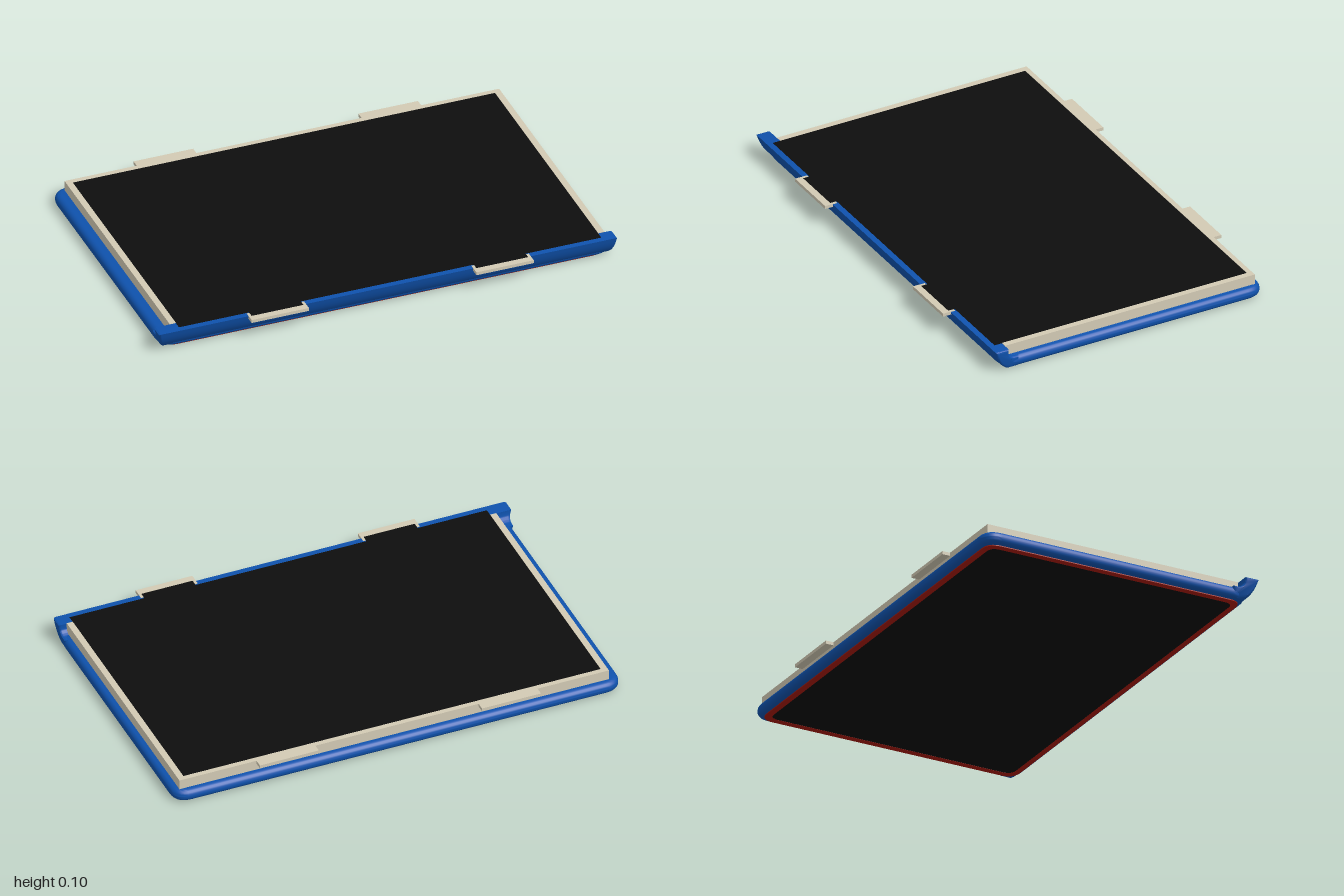
import * as THREE from 'three';
import { toCreasedNormals } from 'three/addons/utils/BufferGeometryUtils.js';

const material = (name, color) => {
  const m = new THREE.MeshStandardMaterial({ color });
  m.name = name;
  return m;
};

// Rounded rectangle in plan; shape y is -z
function outline(x0, x1, z0, z1, r, target = new THREE.Shape()) {
  const a = -z1, b = -z0;
  target.moveTo(x0 + r, a);
  target.lineTo(x1 - r, a);
  target.quadraticCurveTo(x1, a, x1, a + r);
  target.lineTo(x1, b - r);
  target.quadraticCurveTo(x1, b, x1 - r, b);
  target.lineTo(x0 + r, b);
  target.quadraticCurveTo(x0, b, x0, b - r);
  target.lineTo(x0, a + r);
  target.quadraticCurveTo(x0, a, x0 + r, a);
  return target;
}

// Flat shape raised from y by h
function slab(shape, y, h, bevel = 0) {
  const g = new THREE.ExtrudeGeometry(shape, {
    depth: h - 2 * bevel, bevelEnabled: bevel > 0, bevelSize: bevel,
    bevelThickness: bevel, bevelOffset: -bevel, bevelSegments: 5, curveSegments: 8,
  });
  g.rotateX(-Math.PI / 2);
  g.translate(0, y + bevel, 0);
  return toCreasedNormals(g, 0.6);
}

export function createModel() {
  const model = new THREE.Group();
  const blue = material('blue shell', 0x0f52ad);
  const cream = material('cream trim', 0xd2cab4);
  const black = material('black panel', 0x0d0d0d);
  const red = material('red edge', 0xa81a0c);

  const add = (name, geometry, mat) => {
    const mesh = new THREE.Mesh(geometry, mat);
    mesh.name = name;
    model.add(mesh);
  };
  const box = (name, x0, x1, y0, y1, z0, z1, mat) => {
    const g = new THREE.BoxGeometry(x1 - x0, y1 - y0, z1 - z0);
    g.translate((x0 + x1) / 2, (y0 + y1) / 2, (z0 + z1) / 2);
    add(name, g, mat);
  };

  // Bullnosed lower tray
  add('tray', slab(outline(-0.98, 0.995, -0.642, 0.575, 0.075), 0.004, 0.052, 0.024), blue);

  // Front lip: a curved profile swept along x, flaring at its ends
  const profile = new THREE.Shape();
  profile.moveTo(0.5, 0.004);
  profile.lineTo(0.55, 0.004);
  profile.quadraticCurveTo(0.595, 0.03, 0.61, 0.098);
  profile.lineTo(0.55, 0.098);
  profile.lineTo(0.55, 0.08);
  profile.quadraticCurveTo(0.548, 0.057, 0.52, 0.054);
  profile.lineTo(0.5, 0.054);
  profile.closePath();
  const lip = new THREE.ExtrudeGeometry(profile, {
    depth: 1.96, curveSegments: 8, bevelEnabled: true,
    bevelSize: 0.008, bevelThickness: 0.01, bevelOffset: -0.008, bevelSegments: 3,
  });
  lip.rotateY(-Math.PI / 2);
  lip.translate(0.98, 0, 0);
  const p = lip.attributes.position;
  for (let i = 0; i < p.count; i++) {
    const x = p.getX(i), t = Math.sqrt(Math.max(0, p.getY(i)) / 0.098);
    p.setX(i, x < 0 ? x + 0.035 - 0.045 * t : x - 0.008 + 0.018 * t);
  }
  add('frontLip', toCreasedNormals(lip, 0.6), blue);

  // Raised trim around the left, right and back of the panel
  box('rightTrim', -0.93, -0.903, 0.05, 0.1, -0.61, 0.55, cream);
  box('leftTrim', 0.938, 0.965, 0.05, 0.1, -0.61, 0.55, cream);
  box('backTrim', -0.903, 0.938, 0.05, 0.1, -0.61, -0.588, cream);

  // Upper panel
  box('topPanel', -0.903, 0.938, 0.05, 0.099, -0.588, 0.584, black);

  // Two pairs of clips on the front and back edges
  for (const [x0, x1] of [[-0.61, -0.36], [0.37, 0.62]]) {
    box('frontClip', x0, x1, 0.086, 0.1, 0.615, 0.645, cream);
    for (const x of [x0, x1 - 0.012]) {
      box('frontClipArm', x, x + 0.012, 0.086, 0.0995, 0.59, 0.615, cream);
    }
    box('panelTongue', x0 + 0.012, x1 - 0.012, 0.088, 0.099, 0.58, 0.615, black);
    box('backClip', x0 - 0.005, x1 + 0.005, 0.086, 0.1, -0.645, -0.6, cream);
  }

  // Underside: narrow red border around a black base
  const border = outline(-0.955, 0.97, -0.618, 0.555, 0.06);
  border.holes.push(outline(-0.925, 0.94, -0.59, 0.53, 0.04, new THREE.Path()));
  add('baseBorder', slab(border, 0, 0.006), red);
  add('basePanel', slab(outline(-0.925, 0.94, -0.59, 0.53, 0.04), 0.0005, 0.006), black);

  return model;
}
